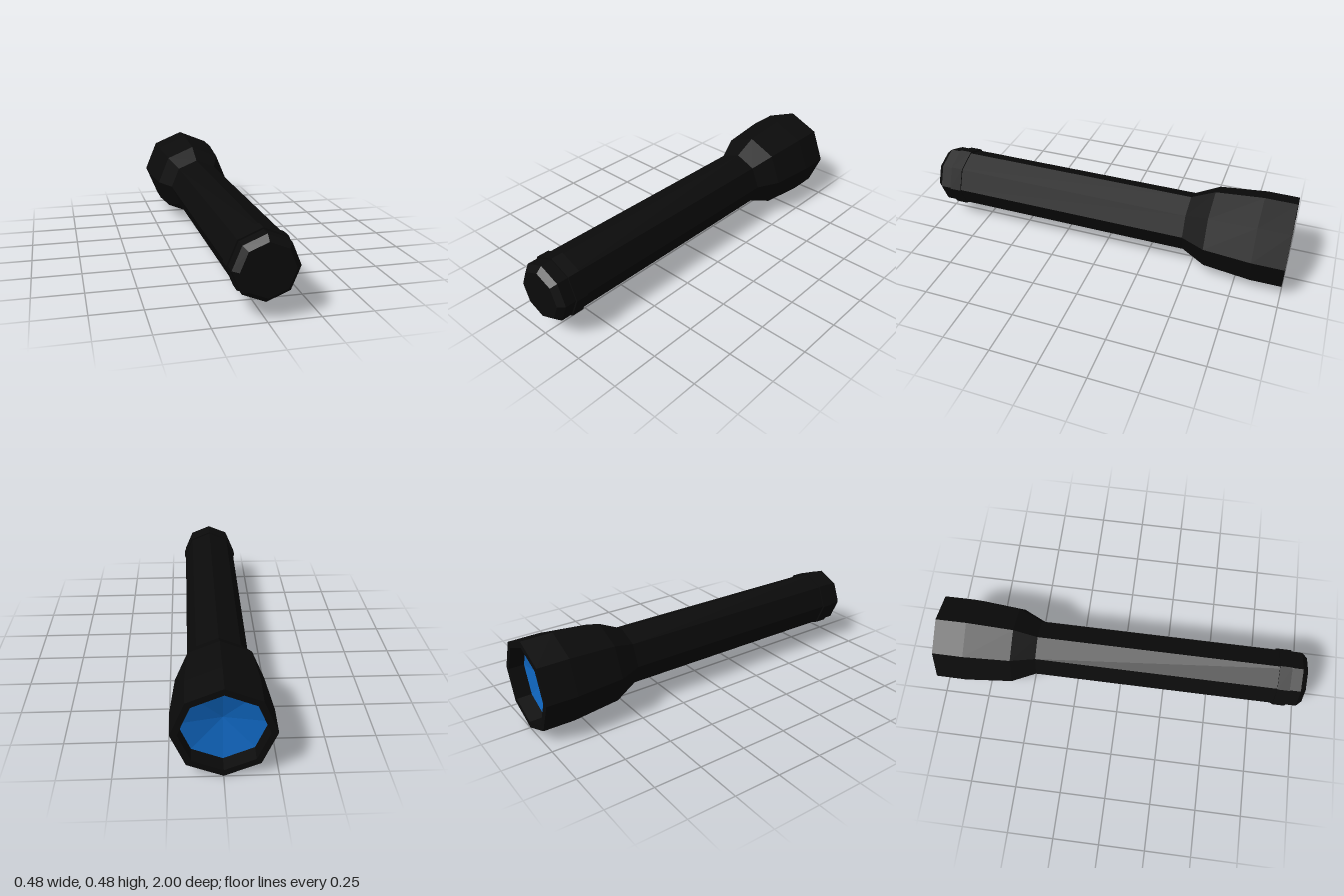
import * as THREE from 'three';

const SIDES = 8;
const AXIS_HEIGHT = 0.239;

// Eight-sided turned part along z; profile entries are [radius, z]
function turned(name, profile, material) {
  const points = profile.map(([r, z]) => new THREE.Vector2(r, z));
  const geometry = new THREE.LatheGeometry(points, SIDES);
  geometry.rotateX(Math.PI / 2);
  const mesh = new THREE.Mesh(geometry, material);
  mesh.name = name;
  mesh.position.y = AXIS_HEIGHT;
  return mesh;
}

export function createModel() {
  const black = new THREE.MeshStandardMaterial({ color: 0x0b0b0b, flatShading: true });
  const blue = new THREE.MeshStandardMaterial({ color: 0x0f66c0, flatShading: true });

  const flashlight = new THREE.Group();
  flashlight.name = 'flashlight';

  flashlight.add(
    // Flared head with a recessed opening at the back end
    turned('head', [
      [0.205, -0.92], [0.205, -1], [0.238, -1], [0.239, -0.835],
      [0.216, -0.585], [0.156, -0.46],
    ], black),

    // Shallow concave lens at the bottom of the recess
    turned('lens', [[0, -0.88], [0.205, -0.92]], blue),

    // Handle with a bevelled, closed tail
    turned('handle', [
      [0.156, -0.46], [0.156, 0.97], [0.128, 1], [0, 1],
    ], black),

    // Raised band near the tail
    turned('tailRing', [
      [0.15, 0.845], [0.164, 0.845], [0.164, 0.91], [0.15, 0.91],
    ], black),
  );

  return flashlight;
}
